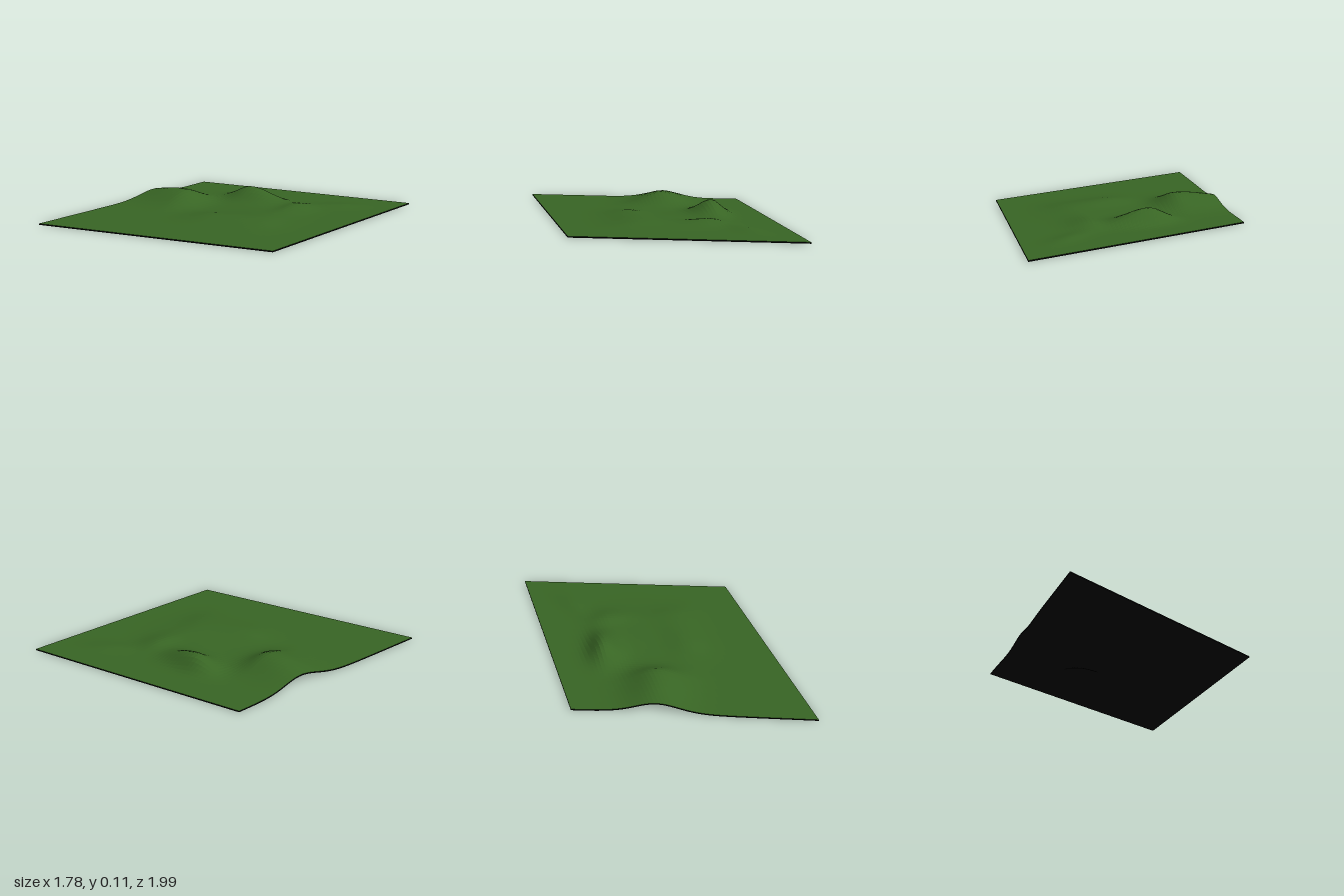
import * as THREE from 'three';

const SEG = 56, THICK = 0.009;

// Hills: centre x, z, height, spread to -x, +x, -z, +z, turn about y
const hills = [
  [-0.45, -0.04, 0.095, 0.28, 0.1, 0.13, 0.14, 0],
  [-0.1, -0.4, 0.098, 0.11, 0.17, 0.065, 0.09, 0.08],
  [0.32, -0.36, 0.03, 0.06, 0.09, 0.09, 0.12, 0],
  [0.52, -0.62, 0.014, 0.15, 0.12, 0.05, 0.06, 0.6],
  [0.0, 0.18, 0.03, 0.14, 0.2, 0.09, 0.11, 0.3],
  [0.34, 0.12, 0.018, 0.16, 0.1, 0.16, 0.12, 0.3],
  [0.25, -0.12, 0.014, 0.25, 0.18, 0.15, 0.15, 0],
];

function heightAt(x, z) {
  let y = THICK + 0.002;
  for (const [cx, cz, h, l, r, b, f, turn] of hills) {
    const c = Math.cos(turn), s = Math.sin(turn);
    const dx = (x - cx) * c - (z - cz) * s;
    const dz = (x - cx) * s + (z - cz) * c;
    const p = dx / (dx < 0 ? l : r), q = dz / (dz < 0 ? b : f);
    y += h * Math.exp(-(p * p + q * q) / 2);
  }
  return y;
}

// Skewed four-cornered plot whose left border bows inward beside the hill
function plotPoint(u, v) {
  const mix = THREE.MathUtils.lerp;
  let x = mix(mix(-0.71, 0.89, u), mix(-0.89, 0.74, u), v);
  const z = mix(mix(-0.61, -1.0, u), mix(0.99, 0.54, u), v);
  x += 0.03 * (1 - u) ** 3 * Math.exp(-(((z + 0.08) / 0.28) ** 2));
  return [x, heightAt(x, z), z];
}

// Grid surface; flipped faces look downward
function sheet(drop, flip) {
  const pos = [], index = [];
  for (let j = 0; j <= SEG; j++) {
    for (let i = 0; i <= SEG; i++) {
      const [x, y, z] = plotPoint(i / SEG, j / SEG);
      pos.push(x, Math.max(0, y - drop), z);
      if (i === SEG || j === SEG) continue;
      const a = j * (SEG + 1) + i, b = a + 1, c = a + SEG + 1, d = c + 1;
      if (flip) index.push(a, b, c, b, d, c);
      else index.push(a, c, b, b, c, d);
    }
  }
  return build(pos, index);
}

// Thin wall around the border
function rim() {
  const pos = [], index = [];
  const sides = [t => [0, t], t => [t, 1], t => [1, 1 - t], t => [1 - t, 0]];
  for (const side of sides) {
    for (let i = 0; i <= SEG; i++) {
      const [x, y, z] = plotPoint(...side(i / SEG));
      const a = pos.length / 3;
      pos.push(x, y, z, x, Math.max(0, y - THICK), z);
      if (i < SEG) index.push(a, a + 1, a + 2, a + 1, a + 3, a + 2);
    }
  }
  return build(pos, index);
}

function build(pos, index) {
  const g = new THREE.BufferGeometry();
  g.setAttribute('position', new THREE.Float32BufferAttribute(pos, 3));
  g.setIndex(index);
  g.computeVertexNormals();
  return g;
}

export function createModel() {
  const grass = new THREE.MeshStandardMaterial({ color: 0x386524, flatShading: true });
  grass.name = 'grass green';
  const under = new THREE.MeshStandardMaterial({ color: 0x050505, side: THREE.DoubleSide });
  under.name = 'underside black';

  const group = new THREE.Group();
  group.name = 'hillyTerrain';
  const add = (name, geometry, material) => {
    const mesh = new THREE.Mesh(geometry, material);
    mesh.name = name;
    group.add(mesh);
  };
  add('grassSurface', sheet(0, false), grass);
  add('underside', sheet(THICK, true), under);
  add('rim', rim(), under);
  return group;
}
